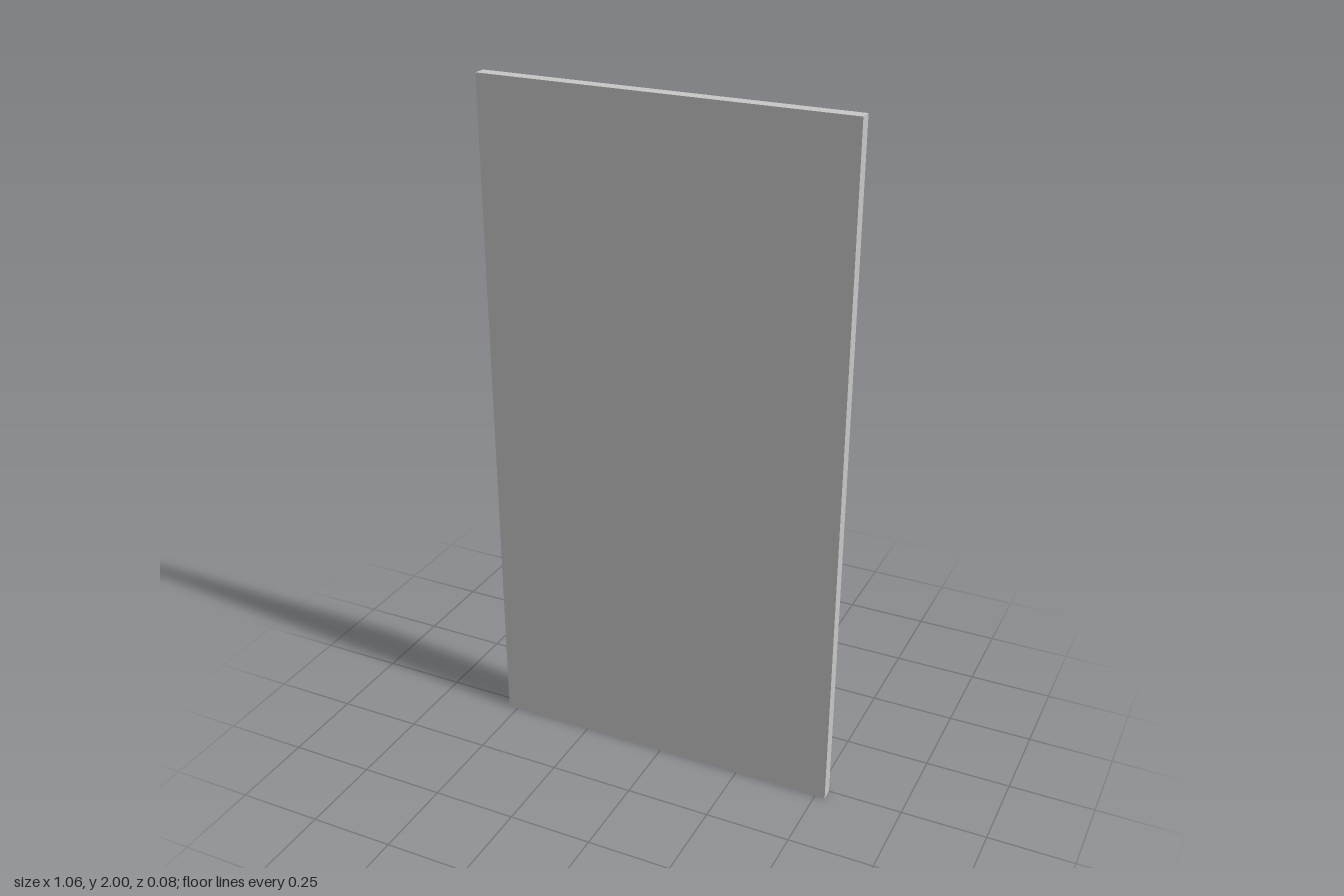
import * as THREE from 'three';
import { toCreasedNormals } from 'three/addons/utils/BufferGeometryUtils.js';

const W = 0.53, H = 2;          // half width and height of the door set
const FACE = 0.02, FRONT = 0.037; // z of the leaf's handle side and of the plain side
const VENT = { x: 0.315, y0: 0.125, y1: 0.605 };

export function createModel() {
  const root = new THREE.Group();
  const paint = new THREE.MeshStandardMaterial({ color: 0xc8c8c8 });
  paint.name = 'light grey paint';
  const metal = new THREE.MeshStandardMaterial({ color: 0x949494 });
  metal.name = 'grey metal';

  const add = (name, geometry, material, parent = root) => {
    const mesh = new THREE.Mesh(geometry, material);
    mesh.name = name;
    parent.add(mesh);
    return mesh;
  };
  const box = (name, x0, x1, y0, y1, z0, z1, material, parent) => {
    const mesh = add(name, new THREE.BoxGeometry(x1 - x0, y1 - y0, z1 - z0), material, parent);
    mesh.position.set((x0 + x1) / 2, (y0 + y1) / 2, (z0 + z1) / 2);
    return mesh;
  };
  const rect = (C, x0, x1, y0, y1) => new C([
    new THREE.Vector2(x0, y0), new THREE.Vector2(x1, y0),
    new THREE.Vector2(x1, y1), new THREE.Vector2(x0, y1),
  ]);

  // Leaf with an opening for the vent, closed by a plain sheet on the front
  const leafShape = rect(THREE.Shape, -W, W, 0, H);
  leafShape.holes.push(rect(THREE.Path, -VENT.x, VENT.x, VENT.y0, VENT.y1));
  const leaf = new THREE.ExtrudeGeometry(leafShape, { depth: FRONT - 0.003 - FACE, bevelEnabled: false });
  leaf.translate(0, 0, FACE);
  add('doorLeaf', leaf, paint);
  box('frontSheet', -W, W, 0, H, FRONT - 0.003, FRONT, paint);

  // Moulded casing: profile runs from the outer edge (d = 0) to the opening
  const profile = new THREE.Shape();
  profile.moveTo(0, FACE);
  profile.lineTo(0, 0);
  profile.splineThru([
    [0.004, -0.004], [0.013, -0.006], [0.03, -0.0045], [0.05, -0.001],
    [0.07, 0], [0.09, -0.003], [0.105, -0.005],
  ].map(([d, z]) => new THREE.Vector2(d, z)));
  profile.lineTo(0.107, FACE);
  profile.closePath();

  // Each run maps (d, t) onto the door, so the corners meet in a mitre
  const casing = (name, place) => {
    const g = new THREE.ExtrudeGeometry(profile, { depth: 1, bevelEnabled: false, curveSegments: 20 });
    const p = g.attributes.position;
    for (let i = 0; i < p.count; i++) {
      const [x, y] = place(p.getX(i), p.getZ(i));
      p.setXYZ(i, x, y, p.getY(i));
    }
    add(name, toCreasedNormals(g, 0.6), paint);
  };
  casing('leftCasing', (d, t) => [W - d, t * (H - d)]);
  casing('rightCasing', (d, t) => [d - W, (1 - t) * (H - d)]);
  casing('topCasing', (d, t) => [(1 - 2 * t) * (W - d), H - d]);

  // Louvred vent with a thin rim and sloping slats
  const vent = new THREE.Group();
  vent.name = 'vent';
  root.add(vent);
  const rimShape = rect(THREE.Shape, -VENT.x - 0.004, VENT.x + 0.004, VENT.y0 - 0.004, VENT.y1 + 0.004);
  rimShape.holes.push(rect(THREE.Path, -VENT.x + 0.006, VENT.x - 0.006, VENT.y0 + 0.006, VENT.y1 - 0.006));
  const rim = new THREE.ExtrudeGeometry(rimShape, { depth: 0.006, bevelEnabled: false });
  rim.translate(0, 0, FACE - 0.004);
  add('ventRim', rim, paint, vent);
  const slats = 13, pitch = (VENT.y1 - VENT.y0 - 0.012) / slats;
  for (let i = 0; i < slats; i++) {
    const slat = add('slat', new THREE.BoxGeometry(2 * VENT.x - 0.004, 0.004, 0.026), paint, vent);
    slat.position.set(0, VENT.y0 + 0.006 + (i + 0.5) * pitch, 0.026);
    slat.rotation.x = -0.85; // outer edge hangs lower
  }

  // Lever handle
  const handle = new THREE.Group();
  handle.name = 'handle';
  root.add(handle);
  box('rosette', -0.395, -0.35, 0.967, 1.017, 0.012, FACE, metal, handle);
  box('neck', -0.39, -0.368, 0.982, 1.004, -0.021, 0.013, metal, handle);
  box('lever', -0.39, -0.248, 0.98, 1.006, -0.04, -0.02, metal, handle);

  return root;
}
